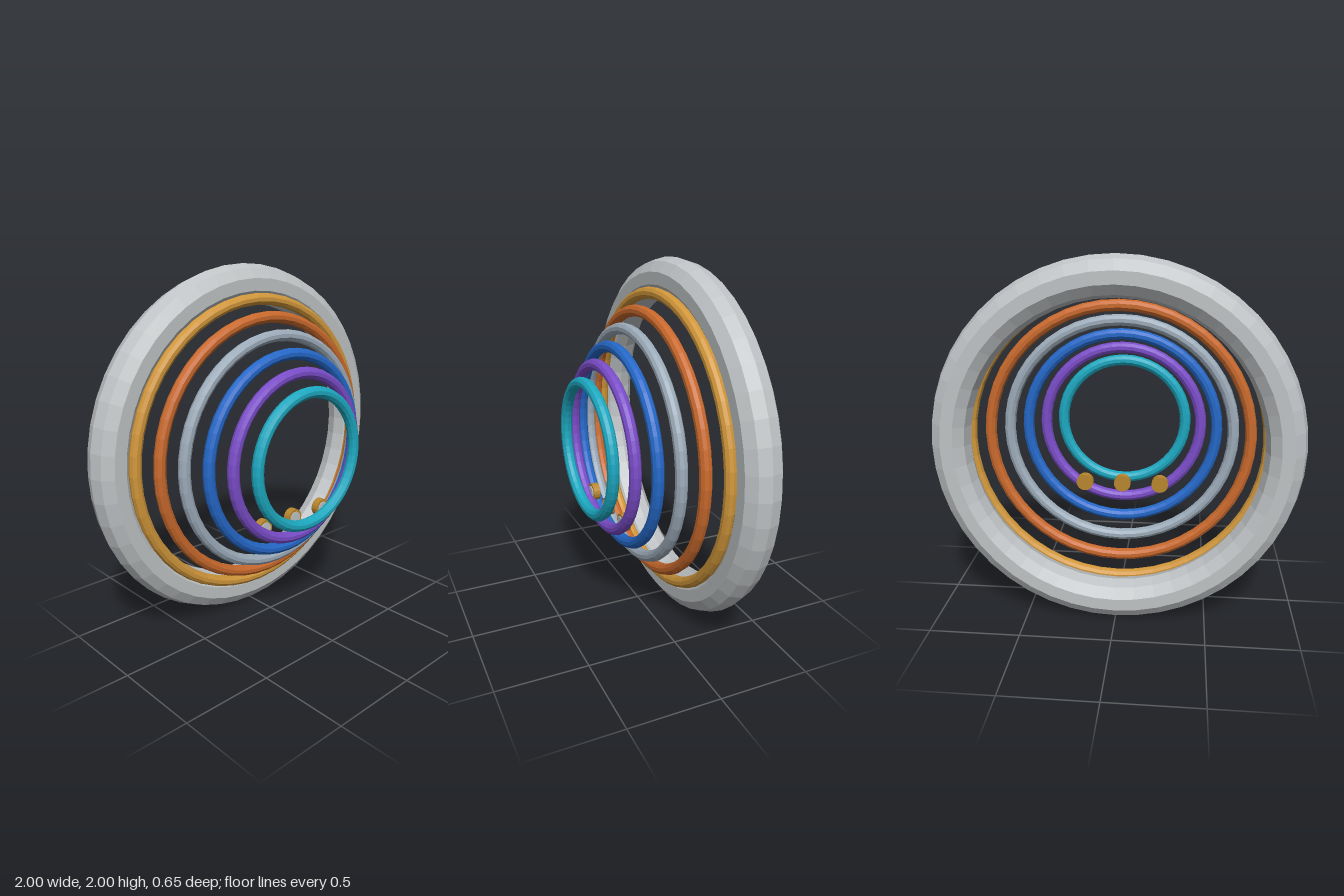
import * as THREE from 'three';

export function createModel() {
  const model = new THREE.Group();
  model.name = 'nestedRings';

  const material = (name, color) => {
    const m = new THREE.MeshStandardMaterial({ color });
    m.name = name;
    m.flatShading = true;
    return m;
  };
  const silver = material('silver', 0xbfc3c5);
  const studGold = material('studGold', 0xb9872f);

  const ring = (name, mat, radius, tube, z) => {
    const mesh = new THREE.Mesh(new THREE.TorusGeometry(radius, tube, 10, 48), mat);
    mesh.name = name;
    mesh.position.set(0, 1, z);
    model.add(mesh);
  };

  // Heavy rim at the back
  ring('outerRim', silver, 0.892, 0.108, -0.222);

  // Slim rings that shrink evenly towards the front
  const slim = [
    ['gold', 0xd0963a],
    ['orange', 0xc9692c],
    ['steel', 0x9cabb9],
    ['blue', 0x2468c8],
    ['purple', 0x7a4cc8],
    ['cyan', 0x1ca8c0],
  ];
  slim.forEach(([name, color], i) => {
    ring(name + 'Ring', material(name, color), 0.815 - 0.09 * i, 0.032, -0.112 + 0.0815 * i);
  });

  // Three round studs in a row, each with a thin pale face on the front
  const disc = (name, mat, radius, depth, z) => {
    const mesh = new THREE.Mesh(new THREE.CylinderGeometry(radius, radius, depth, 16), mat);
    mesh.name = name;
    mesh.rotation.x = Math.PI / 2;
    mesh.position.z = z;
    return mesh;
  };
  for (const x of [-0.225, 0, 0.225]) {
    const stud = new THREE.Group();
    stud.name = 'stud';
    stud.position.set(x, 0.64, 0.18);
    stud.add(disc('studBody', studGold, 0.05, 0.04, 0));
    stud.add(disc('studFace', silver, 0.036, 0.006, 0.022));
    model.add(stud);
  }
  return model;
}
